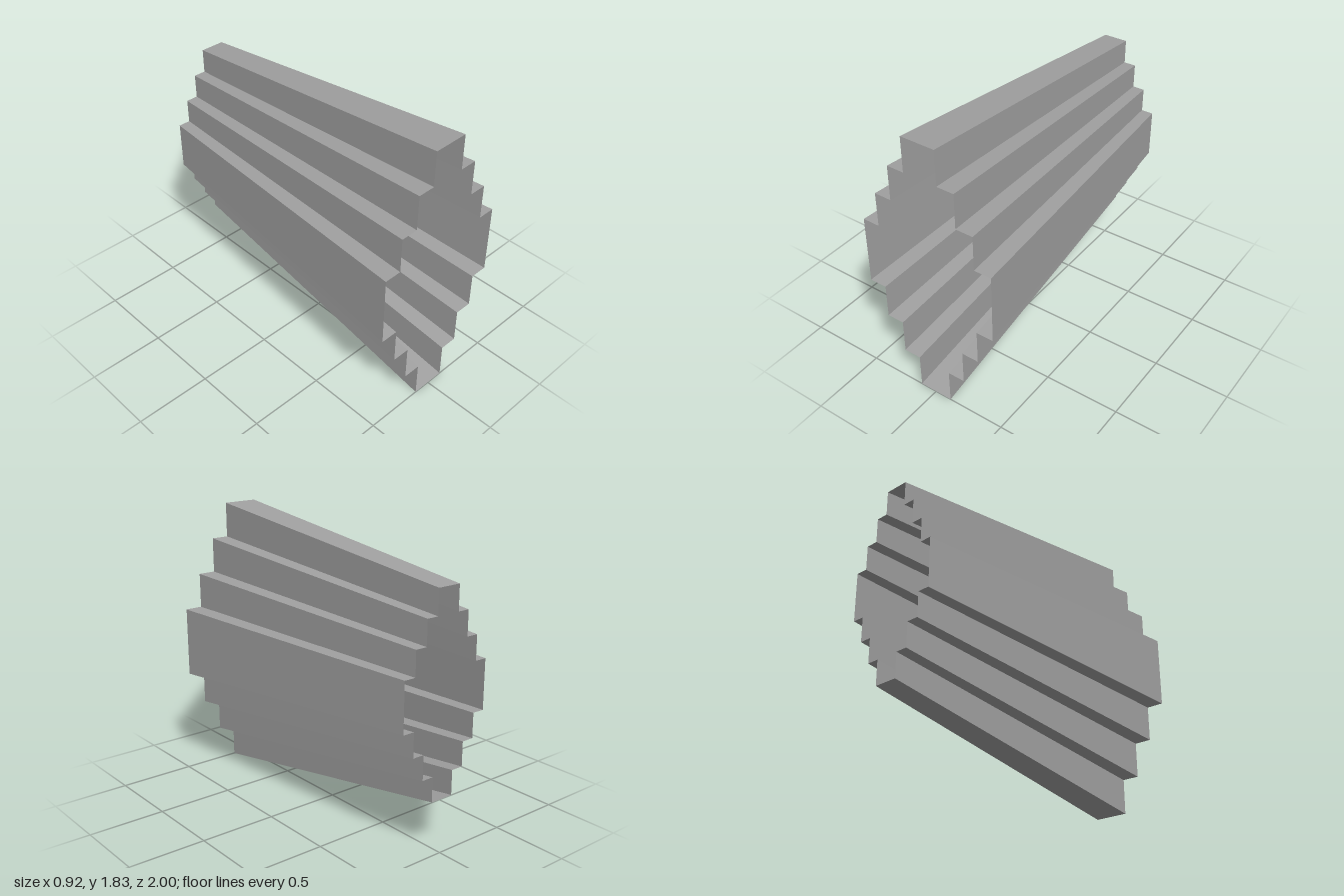
import * as THREE from 'three';

// Right half of the stepped outline, in grid steps, from bottom to top
const HALF = [
  [1, 0], [1, 2], [2, 2], [2, 4], [3, 4], [3, 6], [4, 6],
  [4, 10], [3, 10], [3, 12], [2, 12], [2, 14], [1, 14], [1, 16],
];

export function createModel() {
  const group = new THREE.Group();
  group.name = 'steppedTunnel';
  const grey = new THREE.MeshStandardMaterial({ color: 0xa0a0a0, side: THREE.DoubleSide });
  grey.name = 'grey';

  // Closed outline, counter-clockwise from the front
  const outline = [...HALF, ...HALF.map(([x, y]) => [-x, y]).reverse()];
  const section = (step, base, z) => outline.map(([x, y]) => [x * step, base + y * step, z]);
  const front = section(0.1145, 0, 1);
  const back = section(0.0789, 0.35, -1);

  // One flat wall per outline edge, tapering to the back; both ends stay open
  const positions = [];
  front.forEach((a, i) => {
    const j = (i + 1) % front.length;
    positions.push(...a, ...back[i], ...back[j], ...a, ...back[j], ...front[j]);
  });
  const geometry = new THREE.BufferGeometry();
  geometry.setAttribute('position', new THREE.Float32BufferAttribute(positions, 3));
  geometry.computeVertexNormals();

  const shell = new THREE.Mesh(geometry, grey);
  shell.name = 'taperedShell';
  group.add(shell);
  return group;
}
